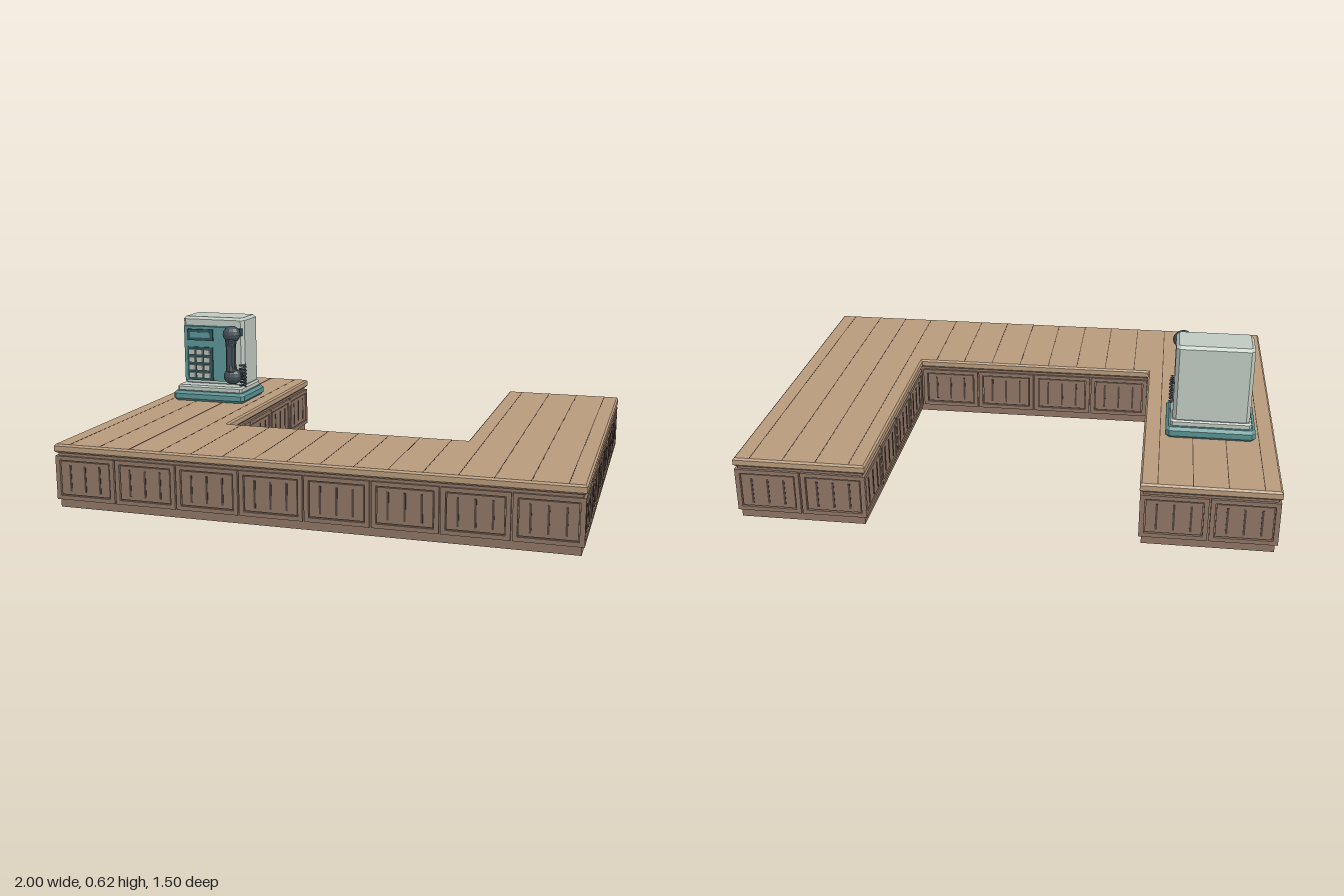
import * as THREE from 'three';

const mat = (name, color) => {
  const m = new THREE.MeshStandardMaterial({ color });
  m.name = name;
  return m;
};

export function createModel() {
  const tan = mat('counter top tan', 0xb89b7c);
  const brown = mat('cabinet brown', 0x8e7565);
  const groove = mat('groove dark brown', 0x54443a);
  const grey = mat('casing grey green', 0xbfc9c1);
  const teal = mat('teal', 0x5a9292);
  const darkTeal = mat('dark teal', 0x2c5359);
  const slate = mat('handset slate', 0x434f57);
  const keyGrey = mat('key grey', 0xb4bbb4);

  const model = new THREE.Group();
  model.name = 'counterWithPhone';

  const add = (parent, name, geo, material, x = 0, y = 0, z = 0) => {
    const mesh = new THREE.Mesh(geo, material);
    mesh.name = name;
    mesh.position.set(x, y, z);
    parent.add(mesh);
    return mesh;
  };
  const box = (w, h, d) => new THREE.BoxGeometry(w, h, d);
  const flat = (geo) => {
    const g = geo.toNonIndexed();
    g.computeVertexNormals();
    return g;
  };
  const polygon = (pts) => new THREE.Shape(pts.map(([x, y]) => new THREE.Vector2(x, y)));

  // Upright prism with chamfered top and bottom edges, standing on y = 0
  const prism = (pts, height, bevel) => {
    const geo = new THREE.ExtrudeGeometry(polygon(pts), {
      depth: height - 2 * bevel, bevelEnabled: bevel > 0,
      bevelSize: bevel, bevelThickness: bevel, bevelOffset: -bevel, bevelSegments: 1,
    });
    geo.translate(0, 0, bevel);
    return geo.rotateX(-Math.PI / 2);
  };

  // Box with every edge chamfered
  const chamferBox = (w, h, d, c) => {
    const a = w / 2, b = d / 2;
    return prism([[-a + c, -b], [a - c, -b], [a, -b + c], [a, b - c],
      [a - c, b], [-a + c, b], [-a, b - c], [-a, -b + c]], h, c * 0.8);
  };

  // U-shaped outline, shrunk by an inset on every side
  const uOutline = (i) => [
    [-1 + i, -0.75 + i], [1 - i, -0.75 + i], [1 - i, 0.75 - i], [0.5 + i, 0.75 - i],
    [0.5 + i, -0.25 - i], [-0.5 - i, -0.25 - i], [-0.5 - i, 0.75 - i], [-1 + i, 0.75 - i],
  ];

  // Counter carcass and top
  const counter = new THREE.Group();
  counter.name = 'counter';
  model.add(counter);
  add(counter, 'carcass', prism(uOutline(0.012), 0.218, 0), brown);
  add(counter, 'counterTop', prism(uOutline(0), 0.034, 0.007), tan, 0, 0.216, 0);

  // Plank seams on the counter top
  for (let k = 0; k < 16; k++) {
    const x = -0.9375 + k * 0.125;
    const back = Math.abs(x) > 0.5 ? -0.743 : 0.257;
    add(counter, 'plankSeam', box(0.003, 0.001, 0.743 - back), groove, x, 0.25, (0.743 + back) / 2);
  }

  // Panelled cabinet fronts: raised frame, inner panel and three slots
  const frameShape = polygon([[-0.122, 0.033], [0.122, 0.033], [0.122, 0.204], [-0.122, 0.204]]);
  frameShape.holes.push(polygon([[-0.105, 0.049], [-0.105, 0.188], [0.105, 0.188], [0.105, 0.049]]));
  const frameGeo = new THREE.ExtrudeGeometry(frameShape, { depth: 0.011, bevelEnabled: false });
  const innerGeo = box(0.202, 0.131, 0.008);
  const slotGeo = box(0.008, 0.104, 0.004);
  const wall = (name, x, z, count, angle) => {
    const g = new THREE.Group();
    g.name = name;
    g.position.set(x, 0, z);
    g.rotation.y = angle;
    for (let i = 0; i < count; i++) {
      const px = (i - (count - 1) / 2) * 0.25;
      add(g, 'panelFrame', frameGeo, brown, px, 0, -0.013);
      add(g, 'panel', innerGeo, brown, px, 0.1185, -0.009);
      for (const s of [-1, 0, 1]) add(g, 'panelSlot', slotGeo, groove, px + s * 0.0615, 0.118, -0.005);
    }
    counter.add(g);
  };
  wall('frontPanels', 0, 0.75, 8, 0);
  wall('innerPanels', 0, 0.25, 4, Math.PI);
  for (const s of [-1, 1]) {
    wall('sidePanels', s, 0, 6, s * Math.PI / 2);
    wall('armInnerPanels', s * 0.5, -0.25, 4, -s * Math.PI / 2);
    wall('armEndPanels', s * 0.75, -0.75, 2, Math.PI);
  }

  // Phone base and casing
  const phone = new THREE.Group();
  phone.name = 'phone';
  phone.position.set(-0.752, 0.25, -0.25);
  model.add(phone);
  add(phone, 'base', chamferBox(0.34, 0.044, 0.26, 0.014), teal);
  add(phone, 'basePlate', chamferBox(0.308, 0.03, 0.226, 0.009), grey, 0, 0.04, 0);
  add(phone, 'casing', chamferBox(0.292, 0.31, 0.165, 0.014), grey, 0, 0.062, -0.029);

  // Front plate with display and keypad
  add(phone, 'facePlate', box(0.205, 0.245, 0.028), teal, -0.027, 0.21, 0.064);
  add(phone, 'displayFrame', box(0.122, 0.05, 0.012), darkTeal, -0.05, 0.295, 0.08);
  add(phone, 'displayScreen', box(0.094, 0.024, 0.004), teal, -0.05, 0.295, 0.086);
  add(phone, 'keypadPlate', box(0.122, 0.15, 0.008), darkTeal, -0.053, 0.165, 0.08);
  for (let r = 0; r < 4; r++) {
    for (let c = -1; c <= 1; c++) {
      add(phone, 'key', box(0.028, 0.024, 0.014), keyGrey, -0.053 + c * 0.036, 0.218 - r * 0.035, 0.088);
    }
  }

  // Handset hung on two cradle hooks
  const hx = 0.117;
  const ballGeo = flat(new THREE.SphereGeometry(0.039, 12, 8));
  const collarGeo = flat(new THREE.CylinderGeometry(0.021, 0.026, 0.03, 10));
  for (const [y, flip] of [[0.31, 0], [0.123, Math.PI]]) {
    add(phone, 'cradleHook', box(0.044, 0.032, 0.062), darkTeal, hx, y, 0.074);
    const ball = add(phone, 'handsetCup', ballGeo, slate, hx, y, 0.118);
    ball.scale.set(1.05, 0.95, 0.85);
    add(phone, 'handsetCollar', collarGeo, slate, hx, y + (flip ? 0.04 : -0.04), 0.128).rotation.x = flip + Math.PI;
  }
  add(phone, 'handsetGrip', chamferBox(0.04, 0.15, 0.034, 0.008), slate, hx, 0.142, 0.131);

  // Coiled cord, hanging beside the casing
  const coil = [];
  for (let i = 0; i <= 64; i++) {
    const t = i / 64, a = t * Math.PI * 14;
    coil.push(new THREE.Vector3(0.146 + 0.013 * Math.cos(a), 0.17 - 0.105 * t, 0.068 + 0.013 * Math.sin(a)));
  }
  add(phone, 'cord', new THREE.TubeGeometry(new THREE.CatmullRomCurve3(coil), 140, 0.0045, 6), slate);
  const lead = new THREE.CatmullRomCurve3([
    new THREE.Vector3(hx, 0.11, 0.11), new THREE.Vector3(0.14, 0.13, 0.085), coil[0].clone()]);
  add(phone, 'cordLead', new THREE.TubeGeometry(lead, 12, 0.0045, 6), slate);

  return model;
}
